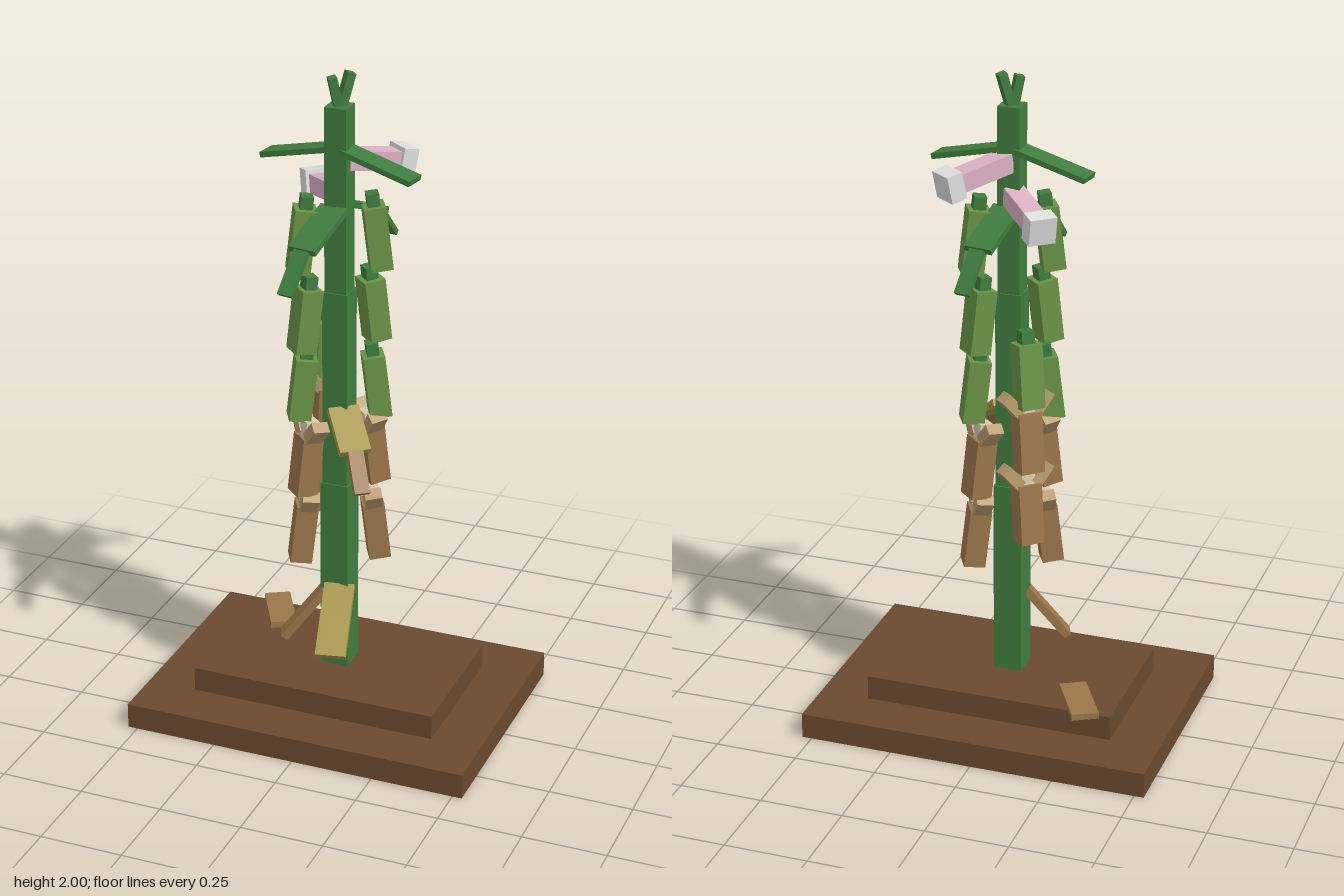
import * as THREE from 'three';

const mat = (name, color) => {
  const m = new THREE.MeshStandardMaterial({ color });
  m.name = name;
  return m;
};

export function createModel() {
  const soil = mat('soil brown', 0x6b4a30);
  const stemGreen = mat('stem green', 0x3f7d3f);
  const podGreen = mat('pod green', 0x6a9447);
  const dryBrown = mat('dry brown', 0x9c764a);
  const yellow = mat('yellowed leaf', 0xa8964a);
  const husk = mat('husk tan', 0xb89a6b);
  const ivory = mat('seed ivory', 0xd6cbb0);
  const pink = mat('petal pink', 0xdcb0c4);
  const white = mat('petal white', 0xdedede);

  const model = new THREE.Group();
  model.name = 'plant';

  const box = (name, material, w, h, d, x, y, z, parent = model) => {
    const mesh = new THREE.Mesh(new THREE.BoxGeometry(w, h, d), material);
    mesh.name = name;
    mesh.position.set(x, y, z);
    parent.add(mesh);
    return mesh;
  };

  // Box stretched between two points, its width kept horizontal
  const beam = (name, material, from, to, width, thick) => {
    const a = new THREE.Vector3(...from), b = new THREE.Vector3(...to);
    const c = a.clone().add(b).multiplyScalar(0.5);
    const mesh = box(name, material, width, thick, a.distanceTo(b), c.x, c.y, c.z);
    mesh.lookAt(b);
    return mesh;
  };

  // Stepped ground
  box('groundLower', soil, 1.058, 0.077, 0.756, 0, 0.0385, 0);
  box('groundUpper', soil, 0.757, 0.075, 0.45, 0, 0.1145, 0);

  // Stem, thinner towards the top
  [[0.086, 0.15, 0.75], [0.076, 0.75, 1.35], [0.066, 1.35, 1.9]].forEach(([w, y0, y1]) =>
    box('stem', stemGreen, w, y1 - y0, w, 0, (y0 + y1) / 2, 0));

  // Sprout at the tip
  beam('sprout', stemGreen, [0, 1.88, 0], [0.024, 1.992, -0.022], 0.03, 0.025);
  beam('sprout', stemGreen, [0, 1.88, 0], [-0.018, 1.982, 0.012], 0.03, 0.025);

  // Green leaves: a straight side pair, and a bent front and back pair
  for (const s of [1, -1]) {
    beam('sideLeaf', stemGreen, [s * 0.02, 1.775, s * 0.004], [s * 0.238, 1.722, s * 0.036], 0.068, 0.016);
    const bend = [-s * 0.032, 1.535, s * 0.2];
    beam('bentLeaf', stemGreen, [-s * 0.005, 1.605, s * 0.025], bend, 0.086, 0.018);
    beam('leafTip', stemGreen, bend, [-s * 0.047, 1.432, s * 0.285], 0.046, 0.016);
  }

  // Withered leaves
  beam('yellowLeaf', yellow, [0.022, 0.995, 0.028], [0.1, 0.91, 0.128], 0.092, 0.022);
  beam('yellowLeafTip', dryBrown, [0.098, 0.915, 0.126], [0.145, 0.815, 0.19], 0.045, 0.022);
  beam('lowYellowLeaf', yellow, [0.015, 0.42, 0.035], [0.053, 0.272, 0.205], 0.09, 0.022);
  beam('lowBrownLeaf', dryBrown, [-0.035, 0.395, 0.03], [-0.148, 0.24, 0.078], 0.05, 0.024);
  beam('fallenLeaf', dryBrown, [-0.316, 0.165, -0.265], [-0.224, 0.165, -0.1], 0.08, 0.02);

  // Flowers
  const flower = (from, to, cap) => {
    beam('flowerTube', pink, from, to, 0.06, 0.055);
    beam('flowerRim', white, to, cap, 0.08, 0.08);
  };
  flower([0.008, 1.74, -0.015], [0.11, 1.71, -0.148], [0.139, 1.7, -0.186]);
  flower([-0.008, 1.64, -0.015], [-0.118, 1.61, -0.14], [-0.151, 1.601, -0.177]);

  // Pod hanging at (x, z); y is the middle of its body
  const pod = (x, y, z, open) => {
    const g = new THREE.Group();
    g.name = open ? 'openPod' : 'greenPod';
    g.position.set(x, y, z);
    g.rotation.order = 'YXZ';
    g.rotation.set(-0.12, Math.atan2(x, z), 0);
    model.add(g);
    if (!open) {
      box('podBody', podGreen, 0.072, 0.19, 0.064, 0, 0, 0, g);
      box('podCap', stemGreen, 0.04, 0.04, 0.036, 0, 0.113, 0, g);
      return;
    }
    box('podBody', dryBrown, 0.072, 0.18, 0.064, 0, 0, 0, g);
    box('seeds', ivory, 0.042, 0.05, 0.042, 0, 0.112, 0, g);
    for (const s of [1, -1])
      box('huskFlap', husk, 0.034, 0.07, 0.05, s * 0.046, 0.116, 0, g).rotation.z = -s * 0.7;
  };

  // Two full columns of pods on opposite sides, turning a little row by row
  [1.508, 1.277, 1.052, 0.822, 0.588].forEach((y, row) => {
    const [x, z] = row % 2 ? [0.074, 0.078] : [0.094, 0.052];
    pod(-x, y, z, row > 2);
    pod(x, y, -z, row > 2);
  });

  // Short third column at the back
  [1.13, 0.925, 0.7].forEach((y, row) => pod(-0.075, y, -0.08, row > 0));

  return model;
}
